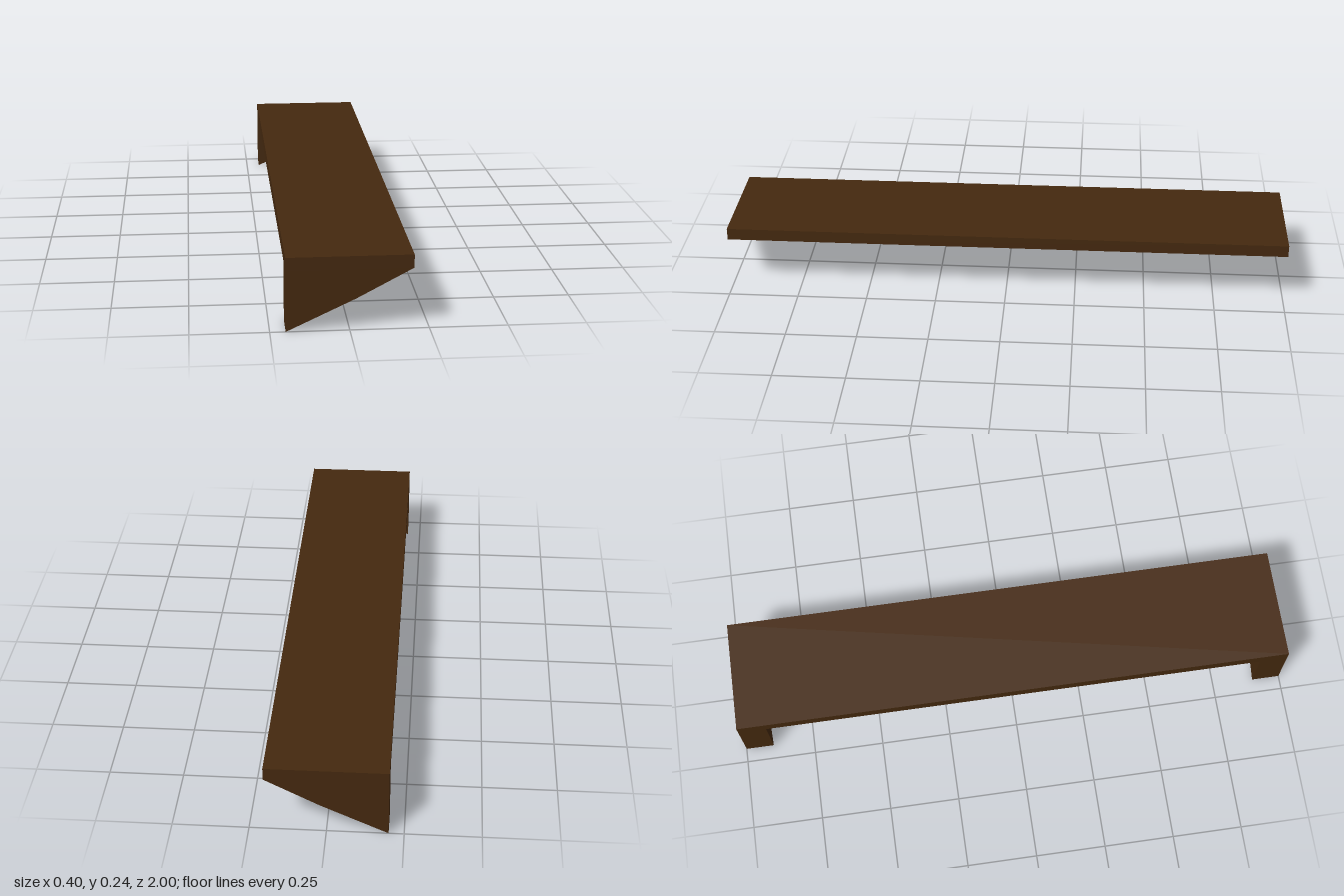
import * as THREE from 'three';

export function createModel() {
  const group = new THREE.Group();
  group.name = 'wallShelf';
  const wood = new THREE.MeshStandardMaterial({ color: 0x45290f, flatShading: true });

  const boardBottom = 0.2, boardTop = 0.243, halfDepth = 0.2, bracketWidth = 0.1;

  // Long flat board
  const board = new THREE.Mesh(
    new THREE.BoxGeometry(halfDepth * 2, boardTop - boardBottom, 2), wood);
  board.name = 'shelfBoard';
  board.position.y = (boardBottom + boardTop) / 2;
  group.add(board);

  // Wedge brackets, tall at the wall side, with a slight bend in the slope
  const profile = new THREE.Shape([
    new THREE.Vector2(-halfDepth, 0),
    new THREE.Vector2(0.02, 0.104),
    new THREE.Vector2(halfDepth, boardBottom),
    new THREE.Vector2(-halfDepth, boardBottom),
  ]);
  const bracketGeometry = new THREE.ExtrudeGeometry(profile, { depth: bracketWidth, bevelEnabled: false });
  for (const [name, z] of [['frontBracket', 1 - bracketWidth], ['backBracket', -1]]) {
    const bracket = new THREE.Mesh(bracketGeometry, wood);
    bracket.name = name;
    bracket.position.z = z;
    group.add(bracket);
  }

  return group;
}
